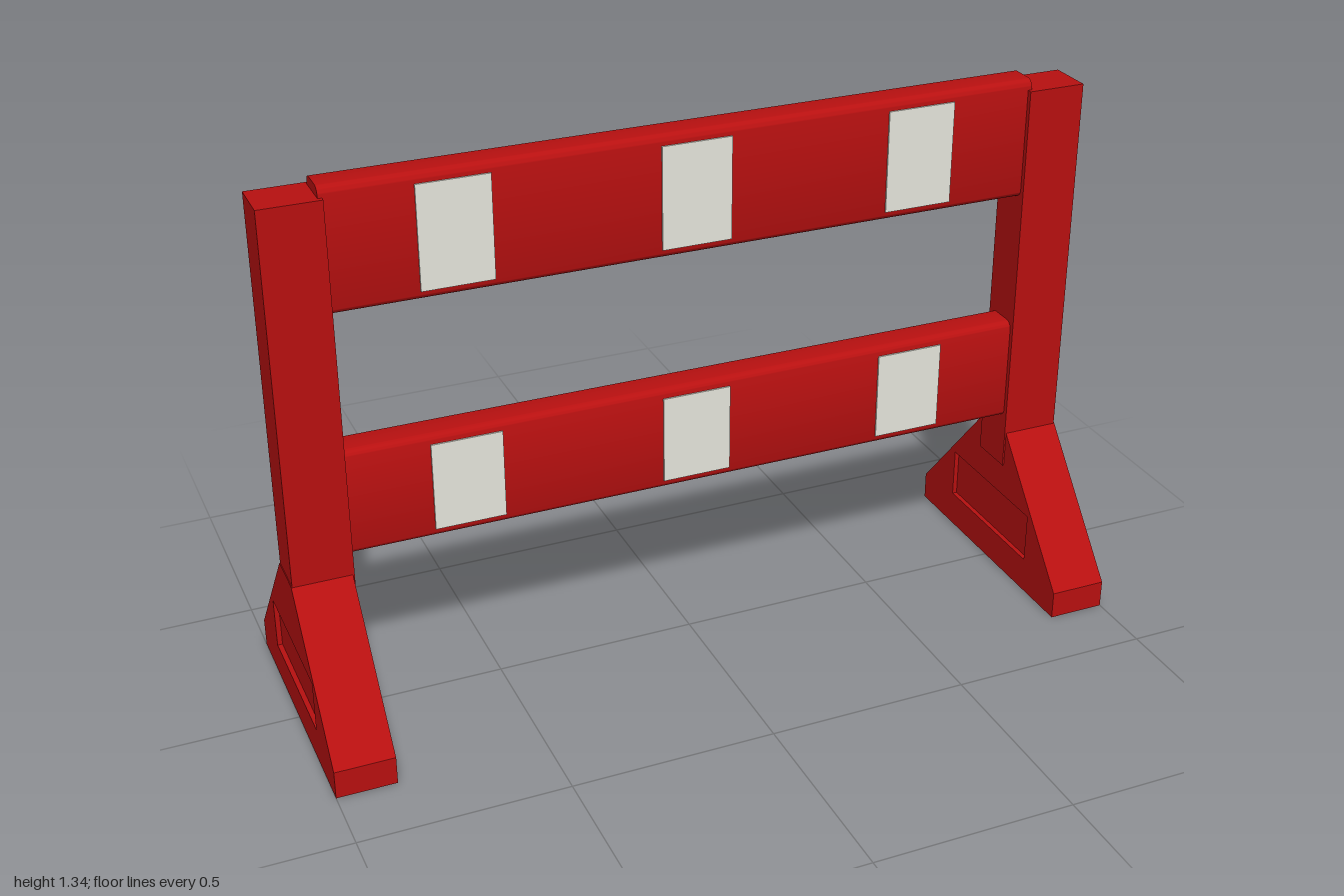
import * as THREE from 'three';
import { toCreasedNormals } from 'three/addons/utils/BufferGeometryUtils.js';

const red = new THREE.MeshStandardMaterial({ color: 0xb81010 });
red.name = 'barrier red';
const white = new THREE.MeshStandardMaterial({ color: 0xe6e6dc });
white.name = 'reflective white';

function add(parent, name, geometry, material, x = 0, y = 0, z = 0) {
  const mesh = new THREE.Mesh(geometry, material);
  mesh.name = name;
  mesh.position.set(x, y, z);
  parent.add(mesh);
  return mesh;
}

// Extrudes a (z, y) profile along x, centred on x = 0
function extrudeAlongX(shape, length) {
  const geometry = new THREE.ExtrudeGeometry(shape, { depth: length, bevelEnabled: false, curveSegments: 5 });
  geometry.translate(0, 0, -length / 2).rotateY(Math.PI / 2);
  return toCreasedNormals(geometry, 0.6);
}

// Upright rectangle with rounded corners
function roundedProfile(halfWidth, bottom, top, r) {
  const s = new THREE.Shape();
  s.moveTo(-halfWidth + r, bottom);
  s.lineTo(halfWidth - r, bottom);
  s.absarc(halfWidth - r, bottom + r, r, -Math.PI / 2, 0);
  s.absarc(halfWidth - r, top - r, r, 0, Math.PI / 2);
  s.absarc(-halfWidth + r, top - r, r, Math.PI / 2, Math.PI);
  s.absarc(-halfWidth + r, bottom + r, r, Math.PI, Math.PI * 1.5);
  return s;
}

function footProfile() {
  return new THREE.Shape([
    [-0.333, 0], [0.333, 0], [0.333, 0.07], [0.055, 0.395], [-0.055, 0.395], [-0.333, 0.07],
  ].map(([z, y]) => new THREE.Vector2(z, y)));
}

// Tapered foot with a shallow rectangular recess in each side
function createFoot() {
  const foot = new THREE.Group();
  const width = 0.143, recess = 0.012;
  const rim = footProfile();
  rim.holes.push(new THREE.Path([
    [-0.185, 0.088], [-0.185, 0.215], [0.185, 0.215], [0.185, 0.088],
  ].map(([z, y]) => new THREE.Vector2(z, y))));
  add(foot, 'footCore', extrudeAlongX(footProfile(), width - 2 * recess), red);
  for (const side of [-1, 1]) {
    add(foot, 'footRim', extrudeAlongX(rim, recess), red, side * (width - recess) / 2);
  }
  return foot;
}

export function createModel() {
  const model = new THREE.Group();
  model.name = 'barricade';

  // Posts and feet
  for (const side of [-1, 1]) {
    const label = side > 0 ? 'left' : 'right';
    add(model, label + 'Post', new THREE.BoxGeometry(0.145, 1.01, 0.114), red, side * 0.9255, 0.805, 0);
    const foot = createFoot();
    foot.name = label + 'Foot';
    foot.position.x = side * 0.9285;
    model.add(foot);
  }

  // Cross boards with white reflective plates on both faces
  const boards = [
    { name: 'upperBoard', bottom: 1.037, top: 1.335, plate: [1.06, 1.31] },
    { name: 'lowerBoard', bottom: 0.437, top: 0.703, plate: [0.46, 0.68] },
  ];
  for (const { name, bottom, top, plate: [low, high] } of boards) {
    add(model, name, extrudeAlongX(roundedProfile(0.045, bottom, top, 0.02), 1.725), red);
    const plate = new THREE.BoxGeometry(0.171, high - low, 0.006);
    for (const x of [-0.568, 0, 0.568]) {
      for (const z of [-0.046, 0.046]) add(model, 'reflector', plate, white, x, (low + high) / 2, z);
    }
  }
  return model;
}
